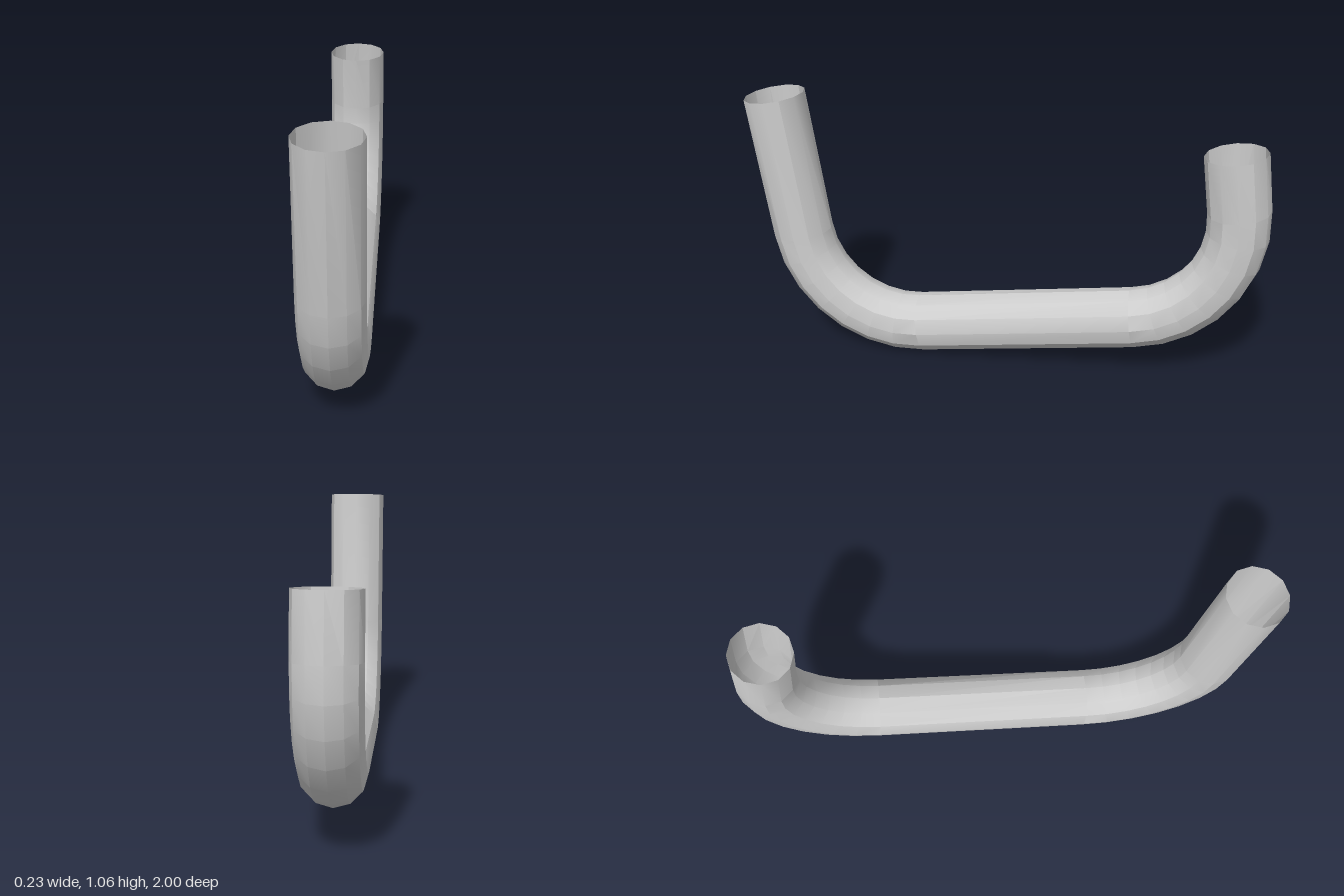
import * as THREE from 'three';
import { toCreasedNormals } from 'three/addons/utils/BufferGeometryUtils.js';

const RADIUS = 0.117, SIDES = 12;
const BEND = 0.43, BEND_STEPS = 7;
const TILT = 0.131; // the whole pipe leans by this angle

// Rings along the centre line: straight runs joined by two quarter bends.
// Heading is measured in the z-y plane: 0 points to +z, PI / 2 points up.
function pipeRings() {
  const rings = [];
  let z = 0.885, y = 1.05, heading = -Math.PI / 2 - TILT;
  const add = () => rings.push({ z, y, heading });
  const straight = (length) => {
    z += Math.cos(heading) * length;
    y += Math.sin(heading) * length;
    add();
  };
  const bend = () => {
    const cz = z + Math.sin(heading) * BEND, cy = y - Math.cos(heading) * BEND;
    const start = heading;
    for (let i = 1; i <= BEND_STEPS; i++) {
      heading = start - (i / BEND_STEPS) * Math.PI / 2;
      z = cz - Math.sin(heading) * BEND;
      y = cy + Math.cos(heading) * BEND;
      add();
    }
  };
  add();
  straight(0.565);
  bend();
  straight(0.85);
  bend();
  straight(0.225);
  return rings;
}

// Open tube skinned over the rings
function pipeGeometry() {
  const rings = pipeRings(), positions = [], index = [];
  for (const { z, y, heading } of rings) {
    const ty = Math.sin(heading), tz = Math.cos(heading);
    for (let j = 0; j < SIDES; j++) {
      const a = (j / SIDES) * Math.PI * 2;
      const s = Math.sin(a) * RADIUS;
      positions.push(Math.cos(a) * RADIUS, y + s * tz, z - s * ty);
    }
  }
  for (let i = 0; i < rings.length - 1; i++) {
    for (let j = 0; j < SIDES; j++) {
      const k = (j + 1) % SIDES;
      const a = i * SIDES + j, b = i * SIDES + k;
      index.push(a, b, a + SIDES, b, b + SIDES, a + SIDES);
    }
  }
  const geometry = new THREE.BufferGeometry();
  geometry.setAttribute('position', new THREE.Float32BufferAttribute(positions, 3));
  geometry.setIndex(index);
  return toCreasedNormals(geometry, Math.PI / 6);
}

export function createModel() {
  const group = new THREE.Group();
  group.name = 'bentPipe';
  const material = new THREE.MeshStandardMaterial({ color: 0xcccccc, side: THREE.DoubleSide });
  const pipe = new THREE.Mesh(pipeGeometry(), material);
  pipe.name = 'pipe';
  group.add(pipe);
  return group;
}
